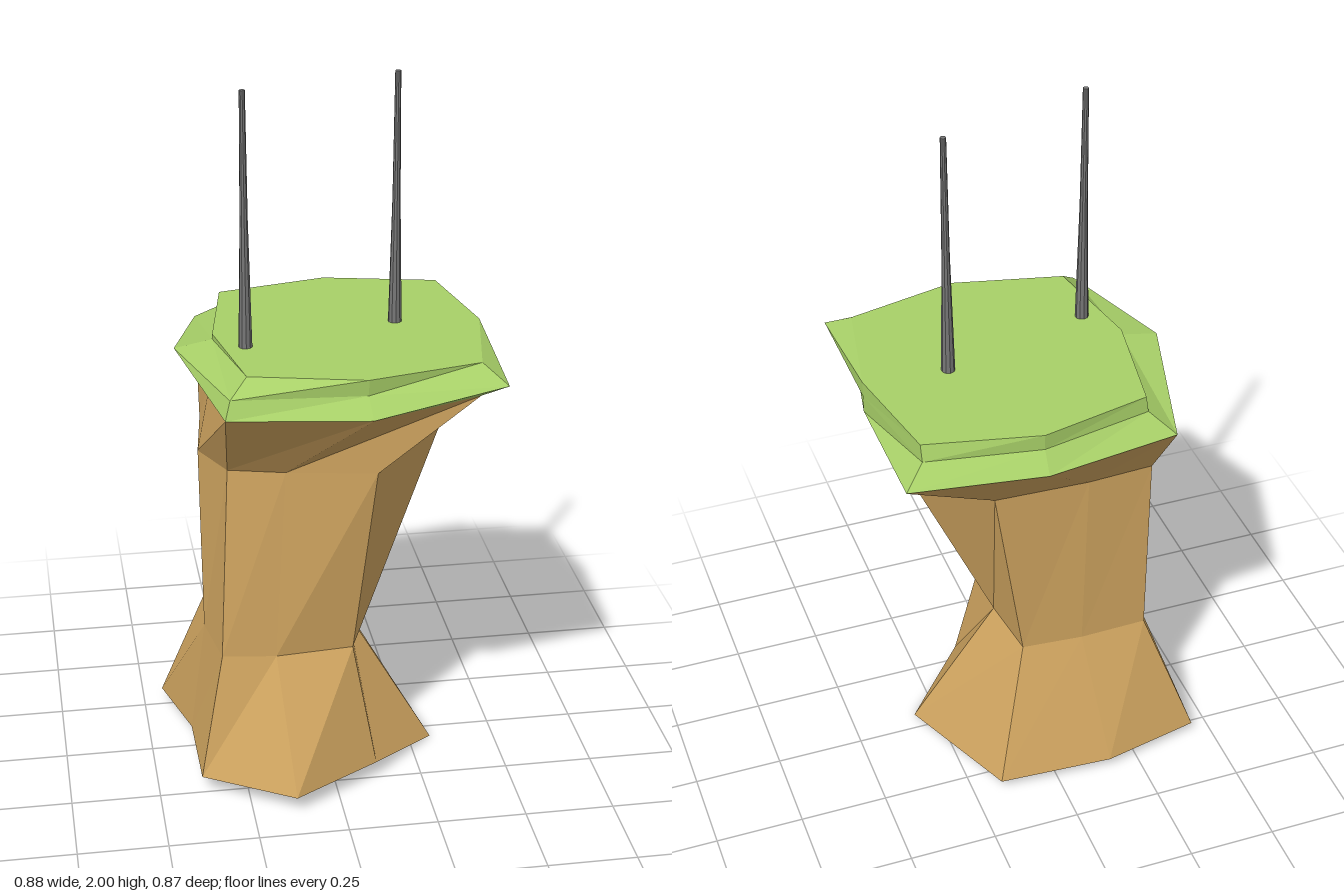
import * as THREE from 'three';

// Skins a stack of irregular eight-point rings (bottom to top) and closes both ends.
function loft(rings) {
  const pos = [];
  const tri = (a, b, c) => {
    const area = new THREE.Triangle(...[a, b, c].map((p) => new THREE.Vector3(...p))).getArea();
    if (area > 1e-6) pos.push(...a, ...b, ...c);
  };
  const centre = (ring) => [0, 1, 2].map((k) => ring.reduce((s, p) => s + p[k], 0) / ring.length);
  const bottom = rings[0], top = rings[rings.length - 1];
  const n = bottom.length, cb = centre(bottom), ct = centre(top);
  for (let i = 0; i < n; i++) {
    const j = (i + 1) % n;
    for (let r = 0; r + 1 < rings.length; r++) {
      const a = rings[r], b = rings[r + 1];
      tri(a[i], b[i], a[j]);
      tri(a[j], b[i], b[j]);
    }
    tri(cb, bottom[i], bottom[j]);
    tri(ct, top[j], top[i]);
  }
  const g = new THREE.BufferGeometry();
  g.setAttribute('position', new THREE.Float32BufferAttribute(pos, 3));
  g.computeVertexNormals();
  return g;
}

// A level ring from [x, z] pairs
const level = (y, pts) => pts.map(([x, z]) => [x, y, z]);

const material = (color) => new THREE.MeshStandardMaterial({ color, flatShading: true });

function addMesh(parent, name, geometry, mat) {
  const mesh = new THREE.Mesh(geometry, mat);
  mesh.name = name;
  parent.add(mesh);
  return mesh;
}

export function createModel() {
  const model = new THREE.Group();
  model.name = 'rockPillar';

  // Every ring runs: front-left, front, front-right, right, back-right, back, back-left, left
  const rim = level(1.2, [
    [0.38, 0.31], [0.07, 0.43], [-0.31, 0.375], [-0.3, 0],
    [-0.31, -0.38], [0.07, -0.435], [0.44, -0.38], [0.44, 0],
  ]);

  // Rock column: flared foot, narrow waist, leaning neck, wide head
  const foot = [
    [0.12, 0.05, 0.25], [-0.13, 0.05, 0.4], [-0.38, 0.05, 0.25], [-0.38, 0.04, -0.04],
    [-0.445, 0.03, -0.29], [-0.16, 0.03, -0.35], [0.17, 0.03, -0.33], [0.315, 0, 0.055],
  ];
  const waist = level(0.4, [
    [0.06, 0.19], [-0.16, 0.21], [-0.31, 0.19], [-0.34, 0],
    [-0.315, -0.2], [-0.12, -0.205], [0.055, -0.19], [0.078, 0],
  ]);
  const neck = level(0.965, [
    [0.115, 0.255], [-0.13, 0.21], [-0.285, 0.17], [-0.35, 0.03],
    [-0.32, -0.2], [-0.13, -0.21], [0.14, -0.2], [0.33, 0],
  ]);
  addMesh(model, 'rockColumn', loft([foot, waist, neck, rim]), material(0xd0a560));

  // Grass cap: ragged overhanging rim, a step, then a flat top
  const overhang = rim.map((p) => [...p]);
  overhang[3] = [-0.405, 1.26, 0];
  const step = level(1.25, [
    [0.44, 0.375], [0.065, 0.38], [-0.295, 0.357], [-0.3, 0],
    [-0.25, -0.32], [0.065, -0.385], [0.38, -0.33], [0.44, 0],
  ]);
  step[3][1] = 1.28;
  const lawn = level(1.295, [
    [0.38, 0.31], [0.065, 0.383], [-0.245, 0.31], [-0.3, 0],
    [-0.245, -0.315], [0.065, -0.385], [0.38, -0.315], [0.44, 0],
  ]);
  addMesh(model, 'grassCap', loft([rim, overhang, step, lawn]), material(0xa8d068));

  // Two slim tapering poles
  const profile = [[0, 0], [0.019, 0], [0.011, 0.36], [0.008, 0.71], [0, 0.71]]
    .map(([r, y]) => new THREE.Vector2(r, y));
  const poleGeometry = new THREE.LatheGeometry(profile, 10);
  const metal = material(0x777777);
  for (const [name, x, z] of [['rightPole', -0.222, 0.103], ['leftPole', 0.207, -0.02]]) {
    addMesh(model, name, poleGeometry, metal).position.set(x, 1.29, z);
  }
  return model;
}
